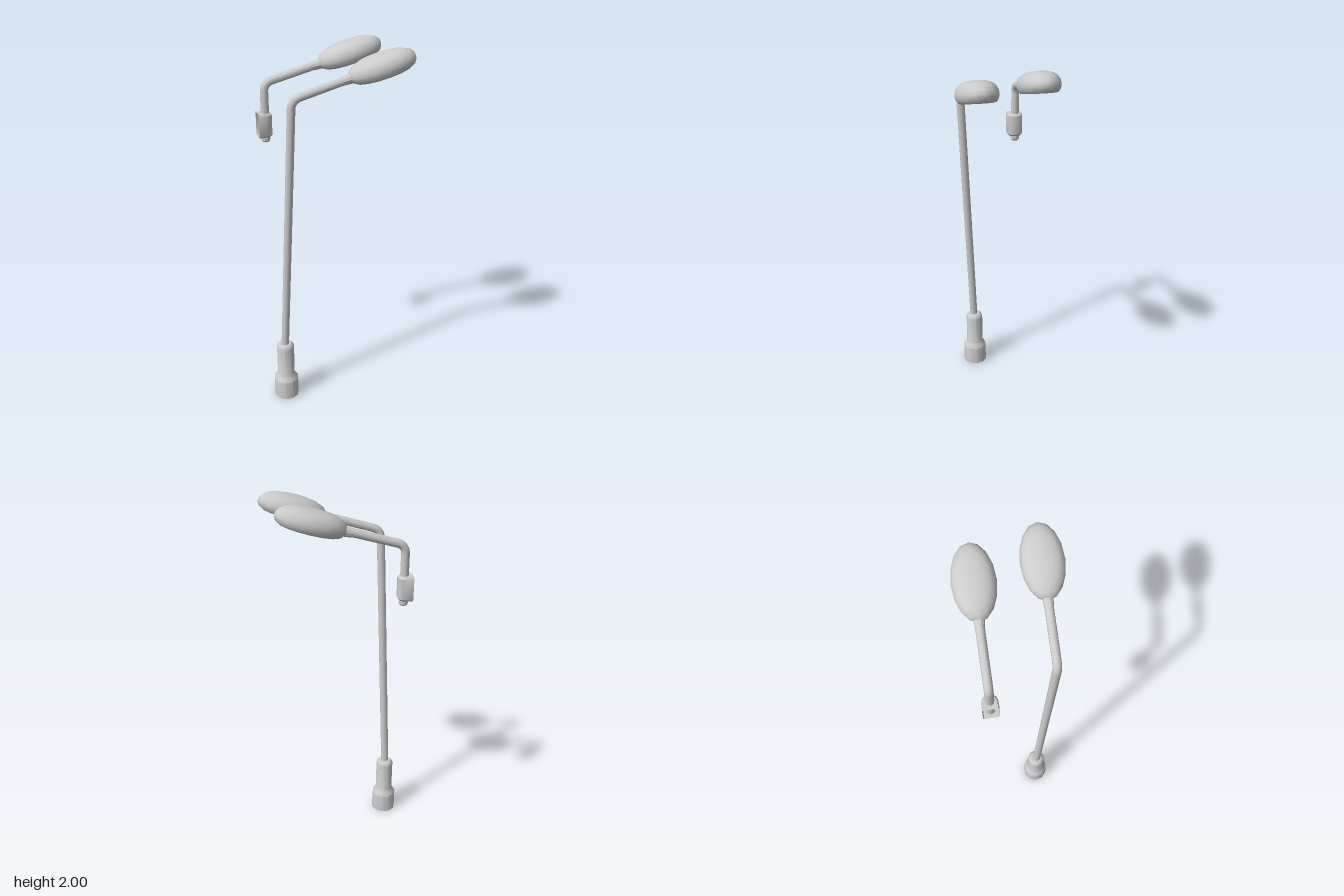
import * as THREE from 'three';
import { toCreasedNormals } from 'three/addons/utils/BufferGeometryUtils.js';

const TILT = 0.27;      // rise angle of the lamp heads
const PIPE = 0.022;     // pipe radius
const grey = new THREE.MeshStandardMaterial({ color: 0xcccccc, side: THREE.DoubleSide });
const V = (x, y, z) => new THREE.Vector3(x, y, z);

function add(parent, name, geometry, crease = 0.6) {
  const mesh = new THREE.Mesh(crease ? toCreasedNormals(geometry, crease) : geometry, grey);
  mesh.name = name;
  parent.add(mesh);
  return mesh;
}

// Lathe from [radius, height] pairs, with a corner on the x axis
function lathe(profile, sides) {
  return new THREE.LatheGeometry(profile.map(p => new THREE.Vector2(...p)), sides, Math.PI / 2);
}

// Straight pipe, rounded elbow, straight pipe
function bentPipe(start, corner, end, bend = 0.045) {
  const a = corner.clone().add(start.clone().sub(corner).setLength(bend));
  const b = corner.clone().add(end.clone().sub(corner).setLength(bend));
  const path = new THREE.CurvePath();
  path.add(new THREE.LineCurve3(start, a));
  path.add(new THREE.QuadraticBezierCurve3(a, corner, b));
  path.add(new THREE.LineCurve3(b, end));
  return new THREE.TubeGeometry(path, 90, PIPE, 10);
}

// Oval shade with a rounded rim and an inset lens below, plus the neck
function lampHead(x, y, z) {
  const head = new THREE.Group();
  head.name = 'lampHead';
  const shade = lathe([
    [0.72, -0.034], [0.76, -0.046], [0.84, -0.044], [0.93, -0.034], [0.99, -0.016],
    [1, -0.004], [0.97, 0.014], [0.87, 0.034], [0.69, 0.049], [0.42, 0.058], [0, 0.061],
  ], 16);
  shade.scale(0.182, 1, 0.104);
  add(head, 'shade', shade, 0.9);
  const lens = lathe([[0, -0.046], [0.4, -0.044], [0.72, -0.034]], 16);
  lens.scale(0.182, 1, 0.104);
  add(head, 'lens', lens);
  const neck = new THREE.CylinderGeometry(PIPE, 0.029, 0.07, 10, 1, true);
  neck.rotateZ(Math.PI / 2);
  neck.translate(-0.178, -0.008, 0);
  add(head, 'neck', neck);
  head.position.set(x, y, z);
  head.rotation.z = TILT;
  return head;
}

// Box clamp with chamfered front corners, open at the back (-x)
function clampGeometry() {
  const depth = 0.075;
  const outline = [[0, -0.041], [0.045, -0.041], [0.066, -0.033], [depth, -0.018],
    [depth, 0.018], [0.066, 0.033], [0.045, 0.041], [0, 0.041]];
  // [scale, height]; the end rows shrink to a point and close top and bottom
  const rows = [[0, 1.503], [0.86, 1.503], [1, 1.514], [1, 1.622], [0.86, 1.632], [0, 1.632]];
  const positions = [], index = [], n = outline.length;
  rows.forEach(([s, y], r) => outline.forEach(([x, z], i) => {
    positions.push(x * s, y, z * s);
    if (r === rows.length - 1 || i === n - 1) return;
    const a = r * n + i, b = a + 1, c = a + n, d = c + 1;
    if (r < rows.length - 2) index.push(a, c, d);
    if (r > 0) index.push(a, d, b);
    else index.push(a, d, c, a, c, d);
  }));
  // the first row needs only the outward triangle
  const faces = [];
  for (let i = 0; i < n - 1; i++) faces.push(0, n + i, n + i + 1);
  const rest = [];
  for (let r = 1; r < rows.length - 1; r++) for (let i = 0; i < n - 1; i++) {
    const a = r * n + i;
    rest.push(a, a + n, a + 1);
    if (r < rows.length - 2) rest.push(a + 1, a + n, a + n + 1);
  }
  const g = new THREE.BufferGeometry();
  g.setAttribute('position', new THREE.Float32BufferAttribute(positions, 3));
  g.setIndex([...faces, ...rest]);
  return g;
}

export function createModel() {
  const model = new THREE.Group();
  model.name = 'streetLamps';

  // Leaning lamp post on a stepped base
  const post = new THREE.Group();
  post.name = 'postLamp';
  const base = add(post, 'base', lathe([
    [0.07, 0], [0.07, 0.11], [0.065, 0.122], [0.05, 0.142],
    [0.05, 0.325], [0.045, 0.338], [0.034, 0.347], [0.015, 0.347],
  ], 10), 0.7);
  base.position.set(-0.315, 0, 0.094);
  add(post, 'pole', bentPipe(V(-0.317, 0.33, 0.096), V(-0.262, 1.776, 0.159), V(0.05, 1.864, 0.159)), 0);
  post.add(lampHead(0.204, 1.915, 0.159));
  model.add(post);

  // Short lamp on a bracket with a clamp
  const bracket = new THREE.Group();
  bracket.name = 'bracketLamp';
  const zb = -0.162;
  add(bracket, 'arm', bentPipe(V(-0.328, 1.5, zb), V(-0.328, 1.79, zb), V(-0.015, 1.875, zb)), 0);
  const stub = add(bracket, 'stemEnd', lathe([[0, 1.474], [0.018, 1.474], [0.024, 1.482], [0.024, 1.51]], 10));
  stub.position.set(-0.328, 0, zb);
  const clamp = add(bracket, 'clamp', clampGeometry());
  clamp.position.set(-0.37, 0, zb);
  bracket.add(lampHead(0.139, 1.924, zb));
  model.add(bracket);

  return model;
}
